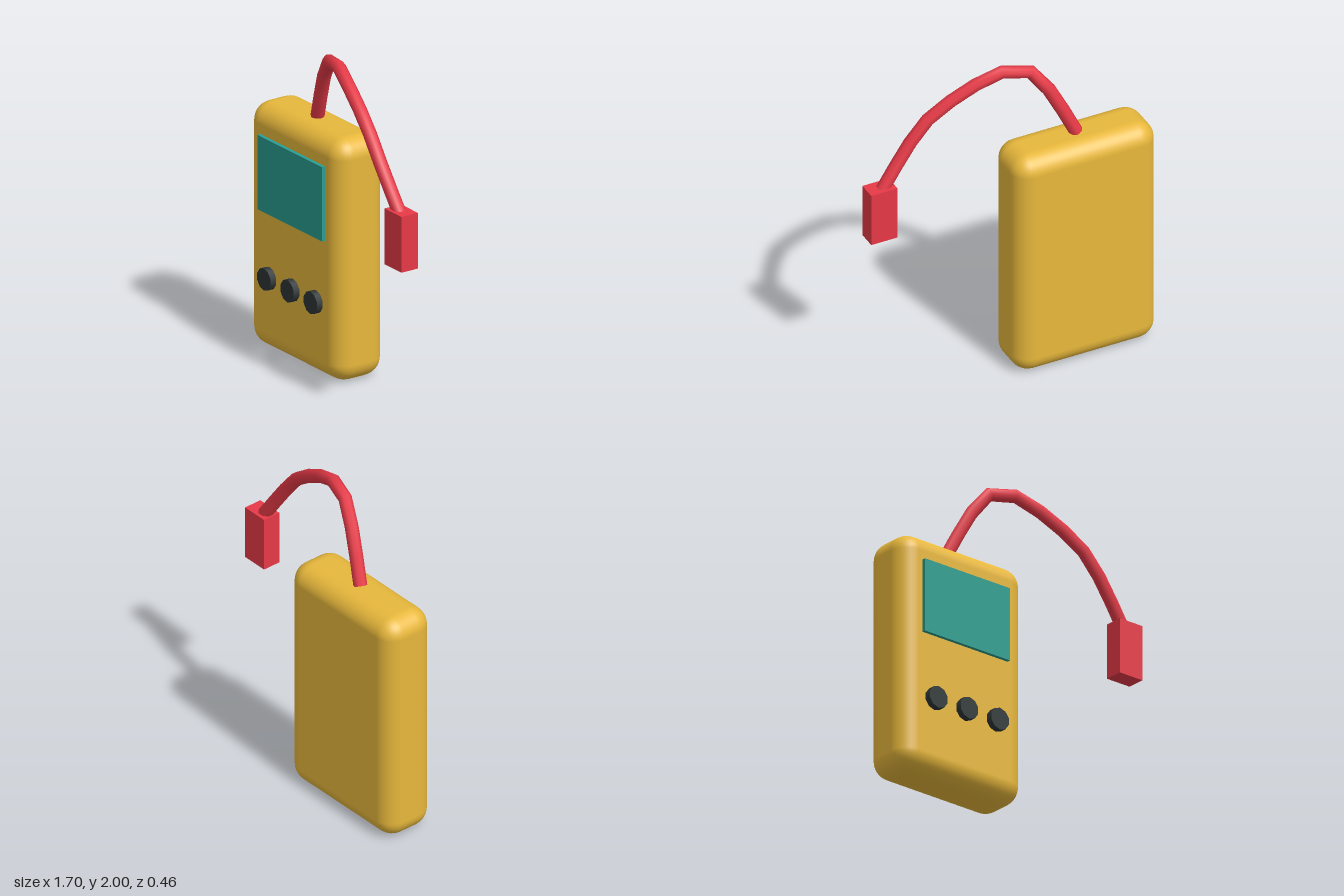
import * as THREE from 'three';
import { RoundedBoxGeometry } from 'three/addons/geometries/RoundedBoxGeometry.js';

function material(name, color, side = THREE.FrontSide) {
  const m = new THREE.MeshStandardMaterial({ color, side });
  m.name = name;
  return m;
}

export function createModel() {
  const model = new THREE.Group();
  model.name = 'handheldMeter';

  const yellow = material('yellow casing', 0xe9b93c);
  const teal = material('teal screen', 0x2a9d8f);
  const charcoal = material('charcoal buttons', 0x2d3436);
  const red = material('red cable', 0xe63946, THREE.DoubleSide);

  const add = (name, geometry, mat, x, y, z) => {
    const mesh = new THREE.Mesh(geometry, mat);
    mesh.name = name;
    mesh.position.set(x, y, z);
    model.add(mesh);
    return mesh;
  };

  // Rounded casing
  add('casing', new RoundedBoxGeometry(0.92, 1.5, 0.345, 4, 0.115), yellow, -0.39, 0.75, -0.057);

  // Raised screen
  add('screen', new THREE.BoxGeometry(0.64, 0.46, 0.046), teal, -0.39, 1.098, 0.115);

  // Row of three buttons
  const buttonShape = new THREE.CylinderGeometry(0.069, 0.069, 0.07, 10).rotateX(Math.PI / 2);
  for (let i = -1; i <= 1; i++) {
    add('button', buttonShape, charcoal, -0.39 + i * 0.23, 0.465, 0.121);
  }

  // Cable arching from the casing top to the plug
  const path = new THREE.CatmullRomCurve3([
    [-0.39, 1.5, -0.06],
    [-0.24, 1.81, 0],
    [-0.14, 1.94, 0.035],
    [0.02, 1.96, 0.08],
    [0.18, 1.89, 0.12],
    [0.33, 1.8, 0.15],
    [0.47, 1.69, 0.175],
    [0.58, 1.55, 0.182],
    [0.76, 1.29, 0.172],
  ].map((p) => new THREE.Vector3(...p)));
  add('cable', new THREE.TubeGeometry(path, 10, 0.041, 8), red, 0, 0, 0);

  // Plug at the cable end
  add('plug', new THREE.BoxGeometry(0.17, 0.345, 0.115), red, 0.763, 1.156, 0.173);

  return model;
}
